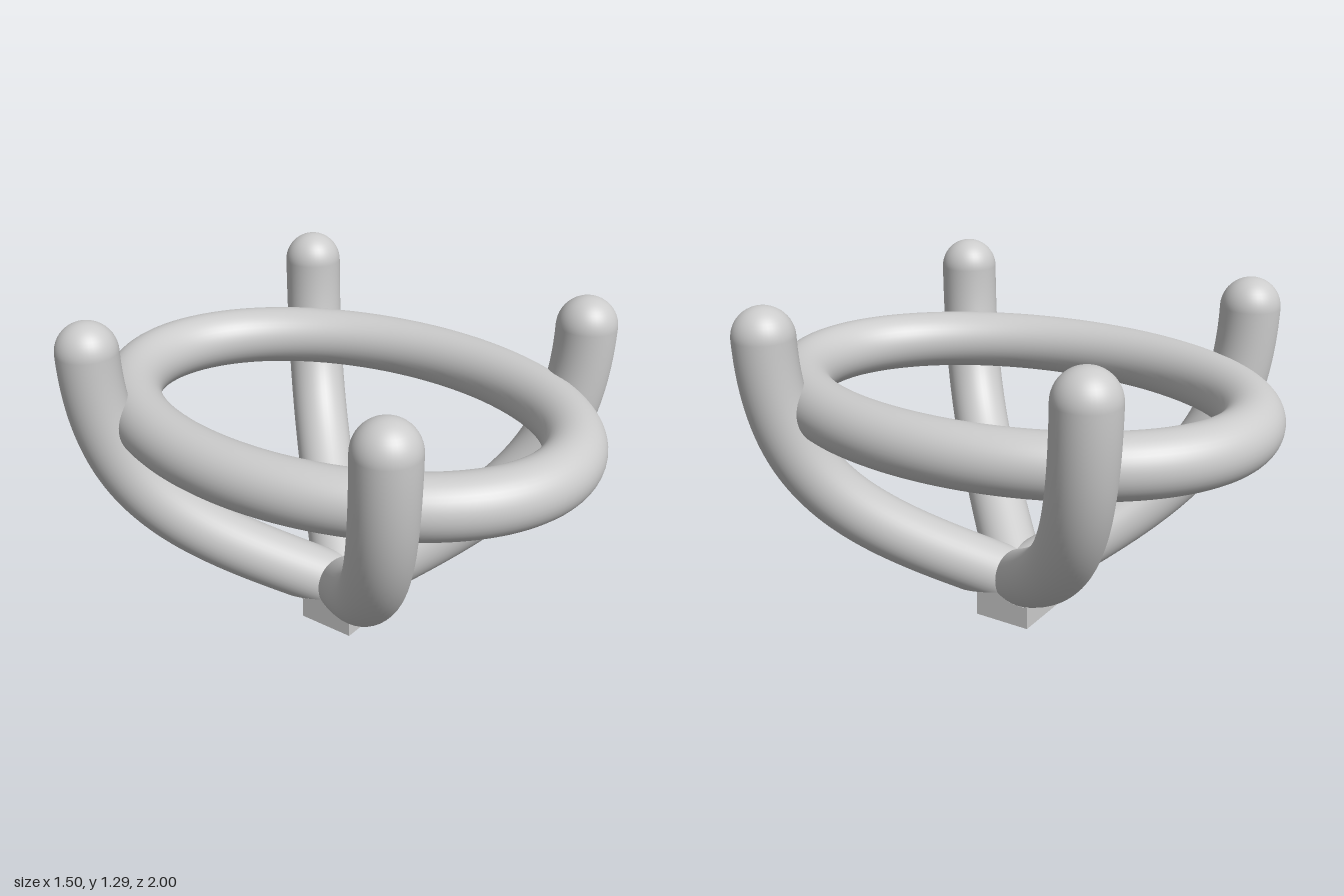
import * as THREE from 'three';

const R = 0.1125;      // bar radius
const BASE_Y = 0.14;   // top of the mounting block
const TIP = new THREE.Vector2(0.637, 1.18);

// Oval loop of constant thickness, lying flat
class OvalCurve extends THREE.Curve {
  getPoint(t, target = new THREE.Vector3()) {
    const a = t * Math.PI * 2;
    return target.set(0.632 * Math.cos(a), 0.906, 0.8875 * Math.sin(a));
  }
}

// Curved bar in the diagonal plane, trimmed flat where it meets the block
function prongGeometry(sx, sz) {
  const p = (d, y) => new THREE.Vector3(sx * d, y, sz * d);
  const curve = new THREE.CubicBezierCurve3(p(0, BASE_Y), p(0.42, 0.44), p(0.63, 0.6), p(TIP.x, TIP.y));
  const sides = 40;
  const geometry = new THREE.TubeGeometry(curve, 64, R, sides);
  const pos = geometry.attributes.position;
  const dir = curve.getTangent(0);
  const v = new THREE.Vector3();
  for (let i = 0; i < pos.count; i++) {
    v.fromBufferAttribute(pos, i);
    // slide along the bar onto the trim plane
    if (i <= sides || v.y < BASE_Y) v.addScaledVector(dir, (BASE_Y - v.y) / dir.y);
    pos.setXYZ(i, v.x, v.y, v.z);
  }
  return { geometry, slope: dir.y };
}

export function createModel() {
  const model = new THREE.Group();
  const material = new THREE.MeshStandardMaterial({ color: 0xcccccc });
  const add = (parent, geometry, name) => {
    const mesh = new THREE.Mesh(geometry, material);
    mesh.name = name;
    parent.add(mesh);
    return mesh;
  };

  // Square mounting block
  add(model, new THREE.BoxGeometry(0.23, BASE_Y, 0.23).translate(0, BASE_Y / 2, 0), 'mountingBlock');

  // Oval ring
  add(model, new THREE.TubeGeometry(new OvalCurve(), 128, R, 40, true), 'ovalRing');

  // Four prongs with rounded tips and flat undersides
  for (const [sx, sz, name] of [[1, 1, 'frontLeft'], [-1, 1, 'frontRight'], [1, -1, 'backLeft'], [-1, -1, 'backRight']]) {
    const prong = new THREE.Group();
    prong.name = name + 'Prong';
    const { geometry, slope } = prongGeometry(sx, sz);
    add(prong, geometry, 'bar');
    add(prong, new THREE.SphereGeometry(R, 40, 24), 'roundedTip').position.set(sx * TIP.x, TIP.y, sz * TIP.x);
    const foot = new THREE.CircleGeometry(R, 40).scale(1 / slope, 1, 1).rotateX(Math.PI / 2);
    add(prong, foot.rotateY(-Math.atan2(sz, sx)).translate(0, BASE_Y, 0), 'flatFoot');
    model.add(prong);
  }
  return model;
}
